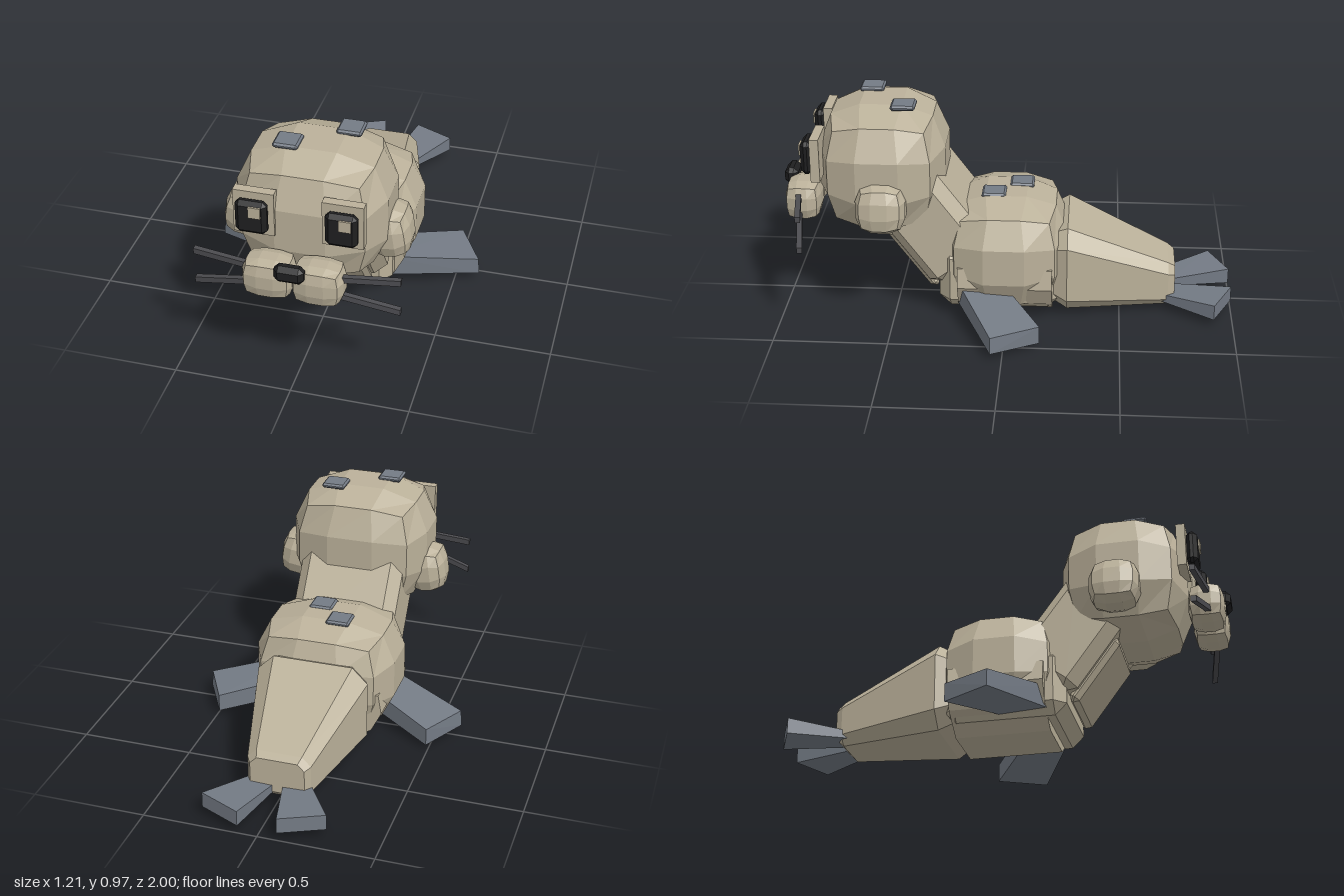
import * as THREE from 'three';
import { ConvexGeometry } from 'three/addons/geometries/ConvexGeometry.js';

const mat = (name, color) => {
  const m = new THREE.MeshStandardMaterial({ color });
  m.name = name;
  return m;
};

// Faceted rounded block: a divided cube pushed onto a superellipsoid
function blob(rx, ry, rz, n = 3, seg = 3) {
  const g = new THREE.BoxGeometry(2, 2, 2, seg, seg, seg).toNonIndexed();
  const p = g.attributes.position;
  for (let i = 0; i < p.count; i++) {
    const x = p.getX(i), y = p.getY(i), z = p.getZ(i);
    const k = (Math.abs(x) ** n + Math.abs(y) ** n + Math.abs(z) ** n) ** (-1 / n);
    p.setXYZ(i, x * k * rx, y * k * ry, z * k * rz);
  }
  g.computeVertexNormals();
  return g;
}

// Convex solid from [x, y, z] corners, optionally mirrored in x
const hull = (pts, side = 1) =>
  new ConvexGeometry(pts.map(([x, y, z]) => new THREE.Vector3(x * side, y, z)));

// Box with bevelled edges
function bevelBox(w, h, d, c) {
  const pts = [];
  for (const i of [-1, 1]) for (const j of [-1, 1]) for (const k of [-1, 1]) {
    const a = w / 2, b = h / 2, e = d / 2;
    pts.push([i * a, j * (b - c), k * (e - c)], [i * (a - c), j * b, k * (e - c)],
      [i * (a - c), j * (b - c), k * e]);
  }
  return hull(pts);
}

// Eight corners of a rectangular section at depth z with cut corners
function section(hw, y0, y1, z, c) {
  const pts = [];
  for (const s of [-1, 1]) {
    pts.push([s * hw, y0 + c, z], [s * hw, y1 - c, z], [s * (hw - c), y0, z], [s * (hw - c), y1, z]);
  }
  return pts;
}

export function createModel() {
  const group = new THREE.Group();
  const fur = mat('tan fur', 0xbbb19a);
  const grey = mat('slate grey', 0x747b85);
  const black = mat('black', 0x1f1f20);
  const dark = mat('whisker grey', 0x4c4c50);

  const add = (name, geo, material, x = 0, y = 0, z = 0) => {
    const m = new THREE.Mesh(geo, material);
    m.name = name;
    m.position.set(x, y, z);
    group.add(m);
    return m;
  };

  // Body, lower chest and belly
  add('body', blob(0.325, 0.255, 0.275, 3.2), fur, 0, 0.285, 0.01);
  add('lowerChest', bevelBox(0.5, 0.3, 0.53, 0.05), fur, 0, 0.19, 0.035);
  const belly = [];
  for (const s of [-1, 1]) for (const z of [-0.2, 0.215]) {
    belly.push([s * 0.28, 0.26, z], [s * 0.295, 0.17, z], [s * 0.25, 0.08, z], [s * 0.13, 0, z]);
  }
  add('belly', hull(belly), fur);

  // Tapered tail
  add('tail', hull([
    ...section(0.22, 0.06, 0.39, -0.2, 0.06),
    ...section(0.25, 0.025, 0.42, -0.265, 0.07),
    ...section(0.14, 0.02, 0.225, -0.715, 0.04),
    ...section(0.12, 0.05, 0.205, -0.745, 0.03),
  ]), fur);

  // Leaning neck and chest plate
  const lean = 0.64;
  add('neck', bevelBox(0.48, 0.5, 0.335, 0.05), fur, 0, 0.42, 0.33).rotation.x = lean;
  add('chestPlate', bevelBox(0.35, 0.34, 0.05, 0.02), fur, 0, 0.25, 0.415).rotation.x = lean;

  // Head and nose
  add('head', blob(0.325, 0.292, 0.282, 3), fur, 0, 0.67, 0.55);
  add('nose', bevelBox(0.124, 0.076, 0.06, 0.02), black, 0, 0.58, 0.97);

  for (const s of [1, -1]) {
    const side = s > 0 ? 'left' : 'right';
    add(side + 'Ear', blob(0.09, 0.11, 0.11), fur, s * 0.31, 0.56, 0.535).rotation.z = s * 0.15;
    add(side + 'Muzzle', blob(0.107, 0.085, 0.078, 4), fur, s * 0.103, 0.515, 0.902);

    // Eyes
    add(side + 'EyePatch', new THREE.BoxGeometry(0.17, 0.197, 0.04), fur, s * 0.183, 0.75, 0.82);
    add(side + 'Eye', bevelBox(0.132, 0.15, 0.05, 0.018), black, s * 0.184, 0.75, 0.862);
    add(side + 'EyeGlint', new THREE.BoxGeometry(0.05, 0.05, 0.008), fur, s * 0.184 + 0.02, 0.785, 0.89);

    // Whiskers
    for (const [name, y0, y1] of [['Upper', 0.55, 0.55], ['Lower', 0.475, 0.405]]) {
      const pts = [];
      for (const [x, y, z] of [[0.17, y0, 0.917], [0.43, y1, 0.875]])
        for (const dy of [-0.013, 0.013]) for (const dz of [-0.012, 0.012]) pts.push([x, y + dy, z + dz]);
      add(side + name + 'Whisker', hull(pts, s), dark);
    }

    // Front and hind flippers
    add(side + 'FrontFlipper', hull([
      [0.2, 0.07, 0.23], [0.2, 0.17, 0.23], [0.2, 0.06, 0.02], [0.2, 0.15, 0.02],
      [0.605, 0.025, 0.05], [0.6, 0.1, 0.05], [0.49, 0.02, -0.155], [0.49, 0.1, -0.155],
    ], s), grey);
    add(side + 'TailFin', hull([
      [0.02, 0.045, -0.73], [0.02, 0.08, -0.73], [0.13, 0.045, -0.69], [0.13, 0.08, -0.69],
      [0.085, 0.035, -1], [0.085, 0.105, -1], [0.27, 0.035, -0.915], [0.27, 0.105, -0.915],
    ], s), grey);
  }

  // Square spots on head and back
  for (const [name, x, y, z] of [['headSpot', 0.117, 0.96, 0.45], ['headSpot', -0.105, 0.96, 0.61],
    ['backSpot', -0.06, 0.533, -0.055], ['backSpot', 0.055, 0.533, 0.065]]) {
    add(name, bevelBox(0.106, 0.022, 0.106, 0.008), grey, x, y, z);
  }
  return group;
}
